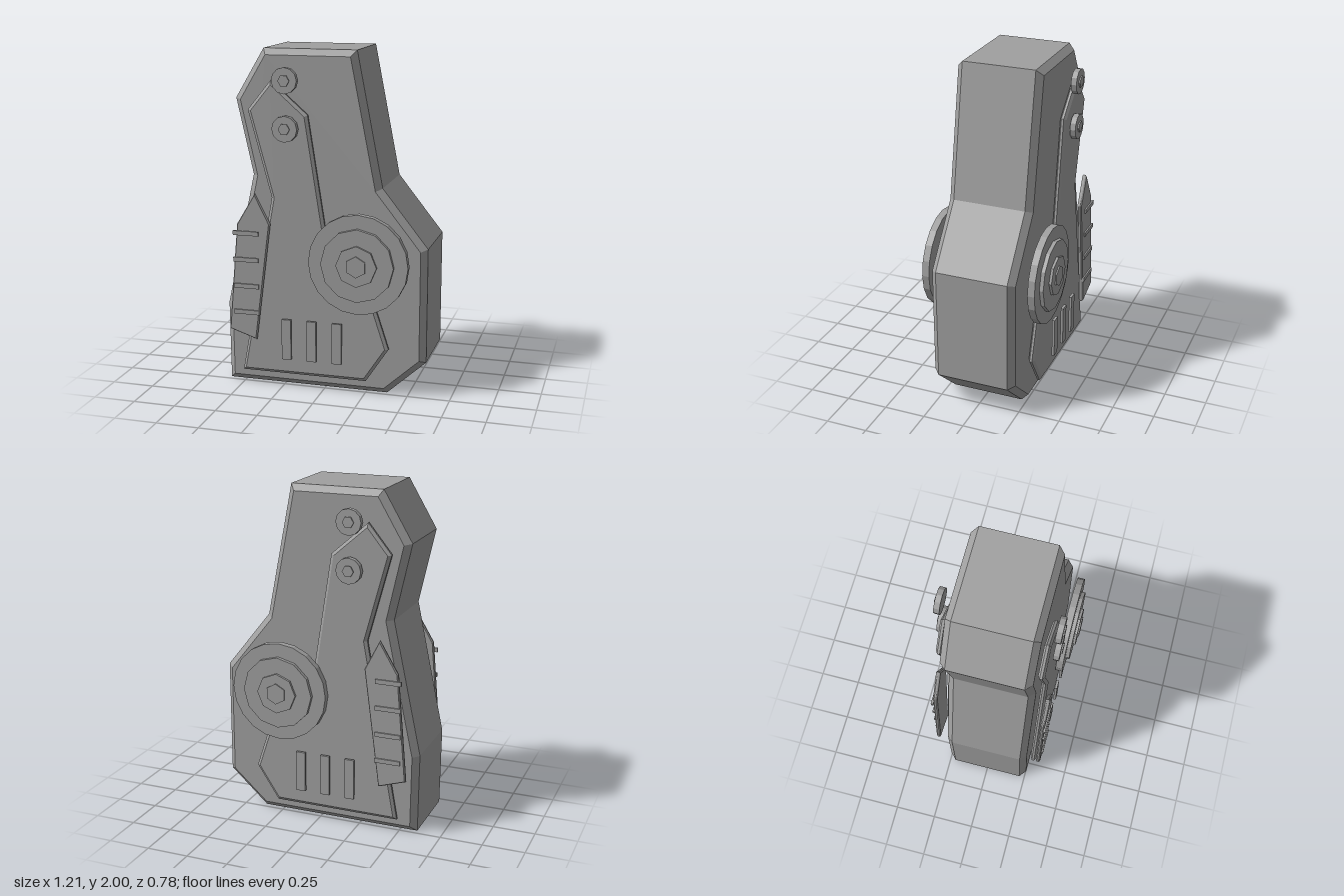
import * as THREE from 'three';

const grey = new THREE.MeshStandardMaterial({ color: 0xa0a0a0, flatShading: true });
grey.name = 'plain grey';

function add(parent, name, geometry, x = 0, y = 0, z = 0) {
  const mesh = new THREE.Mesh(geometry, grey);
  mesh.name = name;
  mesh.position.set(x, y, z);
  parent.add(mesh);
  return mesh;
}

// Chamfered slab from an outline, centred on z = 0
function slab(points, thickness, bevelDepth, bevelInset) {
  const shape = new THREE.Shape(points.map(([x, y]) => new THREE.Vector2(x, y)));
  const depth = thickness - 2 * bevelDepth;
  const geometry = new THREE.ExtrudeGeometry(shape, {
    depth, bevelEnabled: true, bevelSegments: 1,
    bevelThickness: bevelDepth, bevelSize: bevelInset, bevelOffset: -bevelInset,
  });
  return geometry.translate(0, 0, -depth / 2);
}

// Disc whose axis runs along z
function disc(radius, thickness, sides, turn = 0) {
  return new THREE.CylinderGeometry(radius, radius, thickness, sides)
    .rotateY(turn).rotateX(Math.PI / 2);
}

const bodyOutline = [
  [-0.6, 0], [0.373, 0], [0.603, 0.208], [0.603, 0.886], [0.335, 1.224],
  [0.183, 2], [-0.367, 2], [-0.537, 1.712], [-0.437, 1.268], [-0.606, 0.475],
];
const plateOutline = [
  [-0.495, 0.085], [0.26, 0.085], [0.394, 0.29], [0.22, 0.82], [0.03, 0.89],
  [-0.087, 1.635], [-0.304, 1.825], [-0.442, 1.655], [-0.304, 1.15],
];
const finOutline = [
  [-0.394, 0.296], [-0.304, 1.0], [-0.394, 1.175], [-0.505, 0.99], [-0.56, 0.35],
];

// Everything mounted on one face; side is 1 for front, -1 for back
function createFace(side) {
  const face = new THREE.Group();
  face.name = side > 0 ? 'frontDetails' : 'backDetails';

  add(face, 'facePlate', slab(plateOutline, 0.038, 0.012, 0.018), 0, 0, side * 0.281);

  // Stepped hub: radius, sides, inner z, outer z
  const hub = new THREE.Group();
  hub.name = 'pivotHub';
  face.add(hub);
  [[0.293, 20, 0.303, 0.345], [0.214, 12, 0.34, 0.368],
    [0.12, 8, 0.36, 0.383], [0.063, 6, 0.378, 0.391]].forEach(([r, n, a, b]) =>
    add(hub, 'hubStep', disc(r, b - a, n), 0.222, 0.797, side * (a + b) / 2));

  // Bolts with hexagonal heads
  for (const y of [1.83, 1.557]) {
    add(face, 'boltWasher', disc(0.075, 0.033, 12), -0.208, y, side * 0.327);
    add(face, 'boltHead', disc(0.034, 0.02, 6, Math.PI / 6), -0.208, y, side * 0.342);
  }

  // Side fin with cross slats
  add(face, 'sideFin', slab(finOutline, 0.026, 0.008, 0.006), 0, 0, side * 0.324);
  for (let i = 0; i < 4; i++) {
    add(face, 'finSlat', new THREE.BoxGeometry(0.154, 0.026, 0.014),
      -0.45, 0.462 + i * 0.159, side * 0.339);
  }

  // Lower vent bars
  for (let i = 0; i < 3; i++) {
    add(face, 'ventBar', new THREE.BoxGeometry(0.056, 0.245, 0.016),
      -0.212 + i * 0.153, 0.308, side * 0.322);
  }
  return face;
}

export function createModel() {
  const model = new THREE.Group();
  model.name = 'armouredHousing';
  add(model, 'body', slab(bodyOutline, 0.508, 0.037, 0.036));
  for (const side of [1, -1]) model.add(createFace(side));
  return model;
}
